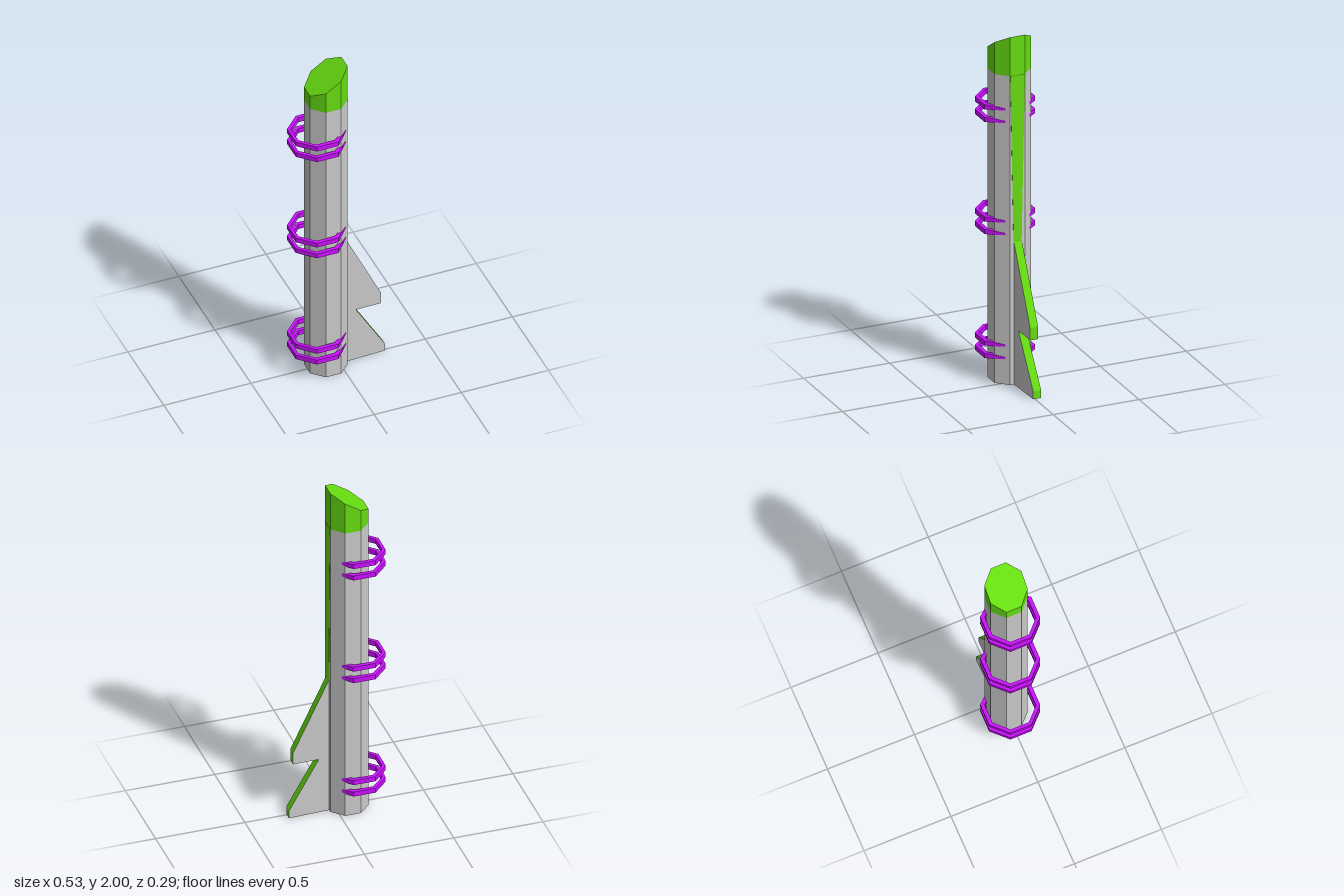
import * as THREE from 'three';

const mat = (color) => new THREE.MeshStandardMaterial({ color, flatShading: true });

// Closed, capped solid through cross-sections (counter-clockwise seen from the far end)
function loft(sections) {
  const pos = [];
  const tri = (...pts) => pts.forEach((p) => pos.push(...p));
  const n = sections[0].length;
  for (let i = 0; i < sections.length - 1; i++) {
    const s = sections[i], t = sections[i + 1];
    for (let j = 0; j < n; j++) {
      const k = (j + 1) % n;
      tri(s[j], s[k], t[k]);
      tri(s[j], t[k], t[j]);
    }
  }
  const first = sections[0], last = sections[sections.length - 1];
  for (let j = 1; j < n - 1; j++) {
    tri(first[0], first[j + 1], first[j]);
    tri(last[0], last[j], last[j + 1]);
  }
  const g = new THREE.BufferGeometry();
  g.setAttribute('position', new THREE.Float32BufferAttribute(pos, 3));
  g.computeVertexNormals();
  return g;
}

export function createModel() {
  const model = new THREE.Group();
  model.name = 'finnedTube';
  const grey = mat(0xcccccc), green = mat(0x66dd11), purple = mat(0xcc11ff);
  const add = (name, geometry, material) => {
    const mesh = new THREE.Mesh(geometry, material);
    mesh.name = name;
    model.add(mesh);
    return mesh;
  };

  // Octagonal body with a slanted green nose
  const octagon = [
    [-0.113, 0.104], [-0.025, 0.104], [0.037, 0.041], [0.037, -0.045],
    [-0.025, -0.109], [-0.113, -0.109], [-0.177, -0.045], [-0.177, 0.041],
  ];
  const noseBase = 1.775;
  const level = (height) => octagon.map(([x, z]) => [x, height(x), z]);
  const slant = (x) => 1.86 + (x + 0.177) * (0.14 / 0.214);
  add('body', loft([level(() => 0), level(() => noseBase)]), grey);
  add('nose', loft([level(() => noseBase), level(slant)]), green);

  // Tapering stripe running down the left face
  const stripeAt = (y, z0, z1) => [[0.03, y, z1], [0.0385, y, z1], [0.0385, y, z0], [0.03, y, z0]];
  add('stripe', loft([stripeAt(0.8, -0.025, 0.021), stripeAt(noseBase, -0.045, 0.041)]), green);

  // Double swept fin: grey sides, green rim, leaning slightly backwards
  const outline = [
    [0.03, 0], [0.265, 0], [0.265, 0.045], [0.095, 0.33],
    [0.24, 0.33], [0.24, 0.4], [0.037, 0.82], [0.03, 0.82],
  ].map(([x, y]) => new THREE.Vector2(x, y));
  const fin = new THREE.ExtrudeGeometry(new THREE.Shape(outline), { depth: 0.046, bevelEnabled: false });
  fin.translate(0, 0, -0.023);
  const p = fin.attributes.position;
  for (let i = 0; i < p.count; i++) {
    const lean = p.getY(i) < 0.3 ? 0.04 : 0.015;
    p.setZ(i, p.getZ(i) - 0.004 - Math.max(0, p.getX(i) - 0.037) * lean);
  }
  fin.computeVertexNormals();
  add('fin', fin, [grey, green]);

  // Open octagonal hoops, thinning where they meet the body
  // Half path: outer x, outer z, inner x, inner z, half height
  const half = [
    [0.02, 0.06, 0.005, 0.05, 0.006],
    [-0.058, 0.147, -0.07, 0.125, 0.014],
    [-0.182, 0.147, -0.176, 0.125, 0.014],
    [-0.268, 0.061, -0.25, 0.052, 0.014],
  ];
  const mirrored = half.map(([ox, oz, ix, iz, h]) => [ox, -oz, ix, -iz, h]).reverse();
  const hoop = loft([...half, ...mirrored].map(([ox, oz, ix, iz, h]) => [
    [ox, -h, oz], [ox, h, oz], [ix, h, iz], [ix, -h, iz],
  ]));
  [1.545, 0.9, 0.187].forEach((y) => {
    for (const offset of [-0.036, 0.036]) add('hoop', hoop, purple).position.y = y + offset;
  });

  return model;
}
